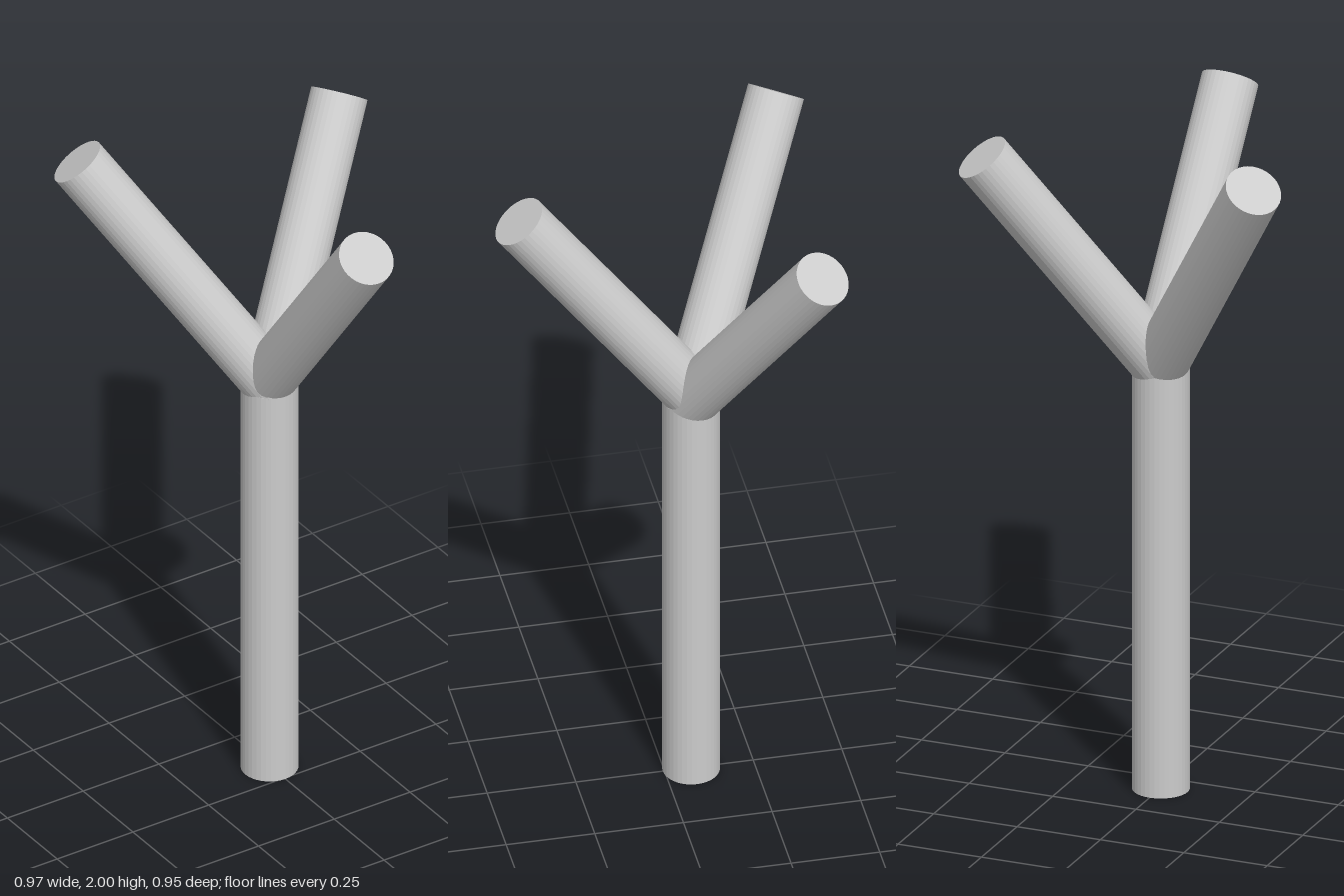
import * as THREE from 'three';

const RADIUS = 0.08;
const SIDES = 36;

export function createModel() {
  const model = new THREE.Group();
  const material = new THREE.MeshStandardMaterial({ color: 0xcccccc, flatShading: true });
  const up = new THREE.Vector3(0, 1, 0);

  // Round pole with flat ends; "sink" buries its lower end in the joint
  function addPole(name, from, to, sink = 0) {
    const end = new THREE.Vector3(...to);
    const start = new THREE.Vector3(...from);
    const direction = end.clone().sub(start).normalize();
    start.addScaledVector(direction, -sink);
    const geometry = new THREE.CylinderGeometry(RADIUS, RADIUS, start.distanceTo(end), SIDES);
    const pole = new THREE.Mesh(geometry, material);
    pole.name = name;
    pole.position.copy(start).lerp(end, 0.5);
    pole.quaternion.setFromUnitVectors(up, direction);
    model.add(pole);
  }

  // Upright trunk
  addPole('trunk', [0, 0, -0.075], [0, 1.255, -0.075]);

  // Three branches fanning out from the top of the trunk
  addPole('frontBranch', [0, 1.28, -0.075], [0, 1.925, 0.411], 0.03);
  addPole('backRightBranch', [0, 1.265, -0.075], [-0.418, 1.952, -0.404], 0.015);
  addPole('backLeftBranch', [0, 1.255, -0.075], [0.416, 1.906, -0.357], 0.005);

  return model;
}
